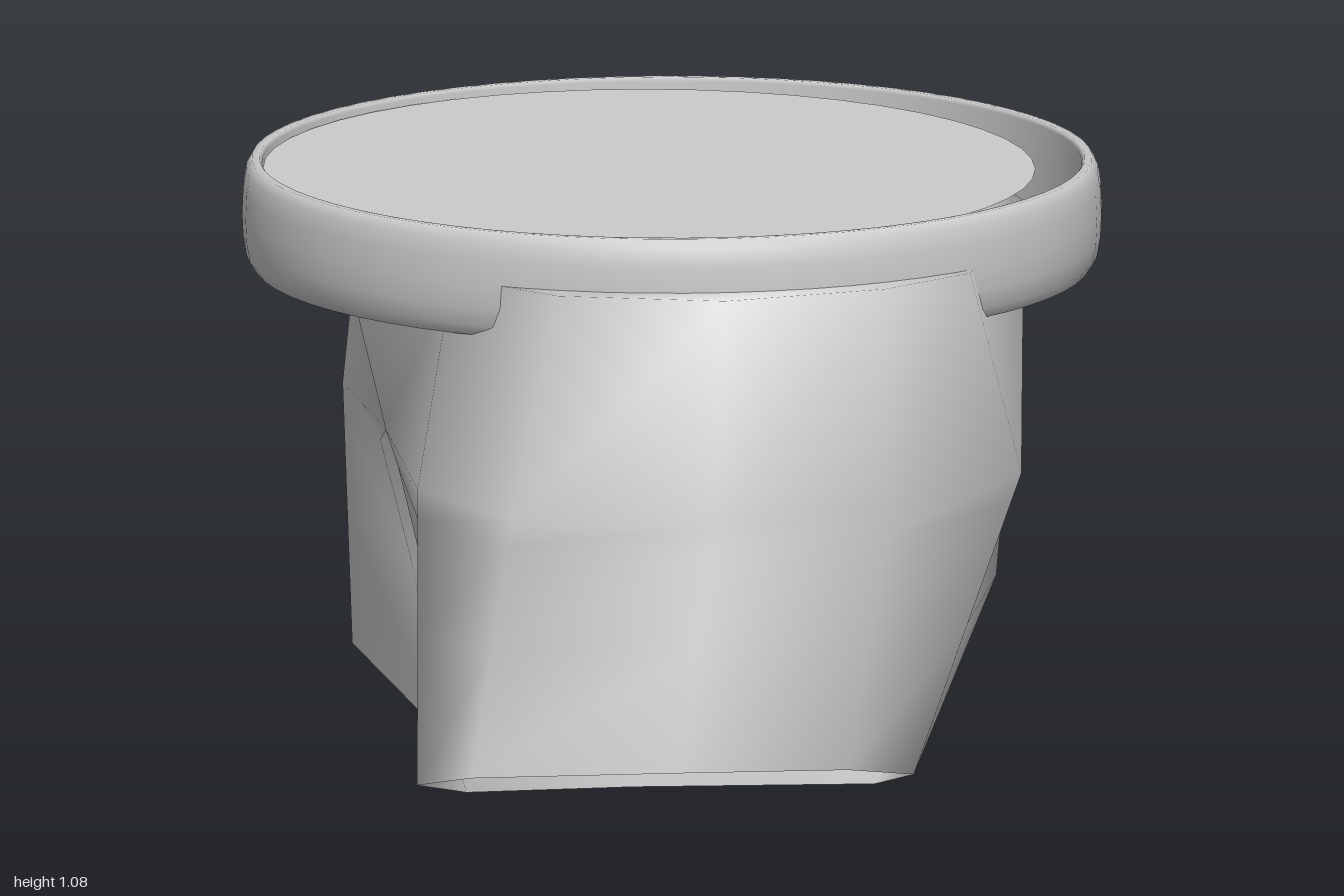
import * as THREE from 'three';
import { mergeVertices } from 'three/addons/utils/BufferGeometryUtils.js';

const material = new THREE.MeshStandardMaterial({ color: 0xcccccc, side: THREE.DoubleSide });

// Eight columns run round each leg: 0 outermost, 4 innermost, 3 and 5 the seams.
const frontHem = [
  [-0.12, 0.19, 1], [-0.47, 0.165, 0.87], [-0.53, 0.105, 0.62], [-0.39, 0.012, 0.23],
  [-0.09, 0, 0.16], [0.32, 0.012, 0.25], [0.335, 0.105, 0.64], [0.19, 0.16, 0.86],
];
const backHem = [
  [-0.02, 0.19, 1], [-0.38, 0.17, 0.92], [-0.47, 0.105, 0.65], [-0.36, 0.012, 0.25],
  [0, 0, 0.16], [0.33, 0.01, 0.22], [0.4, 0.105, 0.66], [0.29, 0.155, 0.83],
];
// Level with the crotch: the inner columns meet the other leg at z = 0
const hip = [
  [-0.05, 0.6, 0.905], [-0.39, 0.6, 0.79], [-0.51, 0.6, 0.48], [-0.5, 0.61, 0],
  [0, 0.56, 0], [0.58, 0.65, 0], [0.545, 0.6, 0.48], [0.27, 0.6, 0.8],
];
// Waist loop, given the corner where the side turns in under the waistband
const waistLoop = (corner) => [
  [-0.02, 0.985, 0.82], [-0.3, 0.985, 0.735], [-0.46, 0.985, 0.55], [-0.59, 0.985, 0],
  [0, 0.985, 0], [0.615, 0.985, 0], corner, [0.27, 0.985, 0.75],
];
const legs = [
  { hem: frontHem, waist: waistLoop([0.435, 0.985, 0.63]), side: 1 },
  { hem: backHem, waist: waistLoop([0.52, 0.985, 0.545]), side: -1 },
];

// Loops between hem and hip: share of the way in x, y and z for each column.
// The inner columns stay apart until just under the crotch.
const shares = (outer, rightSeam, inner, leftSeam) =>
  [outer, outer, outer, rightSeam, inner, leftSeam, outer, outer];
const knee = shares([0.5, 0.5, 0.5], [0.5, 0.55, 0.25], [0.5, 0.5, 0.15], [0.85, 0.55, 0.25]);
const arch = shares([0.9, 0.9, 0.9], [0.95, 0.93, 0.5], [0.9, 0.88, 0.4], [0.97, 0.93, 0.5]);
const between = (hem, share) =>
  hem.map((p, j) => p.map((v, k) => v + (hip[j][k] - v) * share[j][k]));

// Both legs, the hips and the ledge tucked under the waistband as one smooth shell
function shortsGeometry() {
  const positions = [];
  for (const { hem, waist, side } of legs) {
    const ledge = waist.map(([x, y, z]) => [x * 0.86, y, z * 0.86]);
    const loops = [hem, between(hem, knee), between(hem, arch), hip, waist, ledge];
    for (let i = 0; i < loops.length - 1; i++) {
      for (let j = 0; j < 8; j++) {
        if (i > 2 && (j === 3 || j === 4)) continue; // nothing above the crotch
        const n = (j + 1) % 8;
        const [a, b, c, d] = [loops[i][n], loops[i][j], loops[i + 1][j], loops[i + 1][n]];
        const order = side > 0 ? [a, b, c, a, c, d] : [a, c, b, a, d, c];
        for (const [x, y, z] of order) positions.push(x, y, z === 0 ? 0 : z * side);
      }
    }
  }
  const raw = new THREE.BufferGeometry();
  raw.setAttribute('position', new THREE.Float32BufferAttribute(positions, 3));
  const geometry = mergeVertices(raw);
  geometry.computeVertexNormals();
  return geometry;
}

function addMesh(group, name, geometry) {
  const mesh = new THREE.Mesh(geometry, material);
  mesh.name = name;
  group.add(mesh);
  return mesh;
}

export function createModel() {
  const group = new THREE.Group();
  group.name = 'shorts';

  addMesh(group, 'legsAndHips', shortsGeometry());

  // Rounded waistband
  const profile = [
    [0.71, 0.89], [0.724, 0.89], [0.737, 0.91], [0.743, 0.945], [0.745, 0.985],
    [0.743, 1.03], [0.738, 1.06], [0.728, 1.077], [0.715, 1.077], [0.71, 1.07], [0.71, 0.89],
  ].map(([r, y]) => new THREE.Vector2(r, y));
  addMesh(group, 'waistband', new THREE.LatheGeometry(profile, 64));

  // Flat lid closing the waist
  const lid = addMesh(group, 'waistLid', new THREE.CircleGeometry(1, 48));
  lid.rotation.x = -Math.PI / 2;
  lid.scale.set(0.668, 0.705, 1);
  lid.position.set(-0.042, 1.062, 0.015);

  return group;
}
